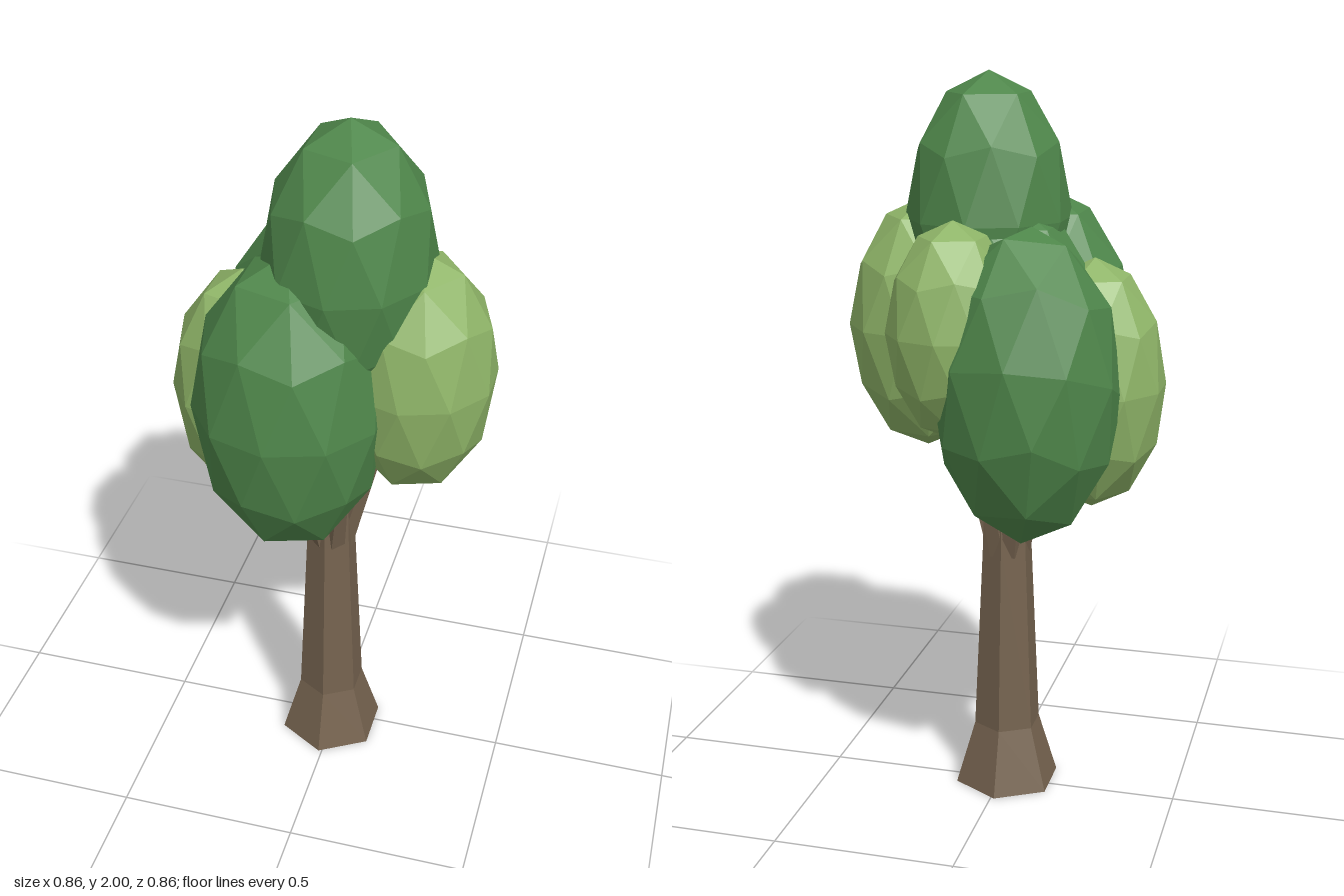
import * as THREE from 'three';

const material = (color) => new THREE.MeshStandardMaterial({ color, flatShading: true });

export function createModel() {
  const tree = new THREE.Group();
  tree.name = 'tree';
  const bark = material(0x75634f);
  const darkLeaf = material(0x4f874b);
  const lightLeaf = material(0x8fb568);

  const add = (name, geometry, mat, parent = tree) => {
    const mesh = new THREE.Mesh(geometry, mat);
    mesh.name = name;
    parent.add(mesh);
    return mesh;
  };

  // Six-sided trunk with a flared foot, narrowing upward
  const trunkProfile = [[0, 0], [0.15, 0], [0.095, 0.18], [0.07, 0.72], [0.06, 1.05], [0, 1.05]]
    .map(([r, y]) => new THREE.Vector2(r, y));
  add('trunk', new THREE.LatheGeometry(trunkProfile, 6), bark).position.set(-0.01, 0, 0.023);

  // Short limbs fanning out from the trunk into the foliage
  const branches = new THREE.Group();
  branches.name = 'branches';
  tree.add(branches);
  const up = new THREE.Vector3(0, 1, 0);
  for (let i = 0; i < 6; i++) {
    const a = (i / 6) * Math.PI * 2 + Math.PI / 6;
    const start = new THREE.Vector3(-0.01 + 0.03 * Math.sin(a), 0.7, 0.02 + 0.03 * Math.cos(a));
    const end = new THREE.Vector3(-0.01 + 0.13 * Math.sin(a), 1.06, 0.02 + 0.13 * Math.cos(a));
    const dir = end.clone().sub(start);
    const limb = add('branch', new THREE.CylinderGeometry(0.022, 0.034, dir.length(), 5), bark, branches);
    limb.position.copy(start).add(end).multiplyScalar(0.5);
    limb.quaternion.setFromUnitVectors(up, dir.normalize());
  }

  // Faceted leaf clumps: sphere with a vertex at each pole, stretched upright
  const clump = (name, mat, center, radii, tilt = 0) => {
    const geometry = new THREE.IcosahedronGeometry(1, 1);
    geometry.rotateX(-Math.atan((1 + Math.sqrt(5)) / 2));
    geometry.rotateY(Math.PI / 2);
    geometry.rotateX(tilt);
    geometry.scale(...radii);
    add(name, geometry, mat).position.set(...center);
  };
  clump('crownClump', darkLeaf, [0.05, 1.62, 0.063], [0.222, 0.38, 0.245]);
  clump('coreClump', darkLeaf, [-0.04, 1.27, -0.02], [0.25, 0.4, 0.25]);
  clump('frontClump', darkLeaf, [-0.073, 1.26, 0.185], [0.255, 0.43, 0.247]);
  clump('backClump', darkLeaf, [-0.115, 1.22, -0.19], [0.25, 0.415, 0.243], 0.22);
  clump('leftClump', lightLeaf, [0.225, 1.325, 0.05], [0.21, 0.345, 0.212]);
  clump('rightClump', lightLeaf, [-0.25, 1.19, 0.01], [0.195, 0.34, 0.205]);
  clump('backLeftClump', lightLeaf, [0.07, 1.36, -0.215], [0.175, 0.285, 0.178]);

  return tree;
}
